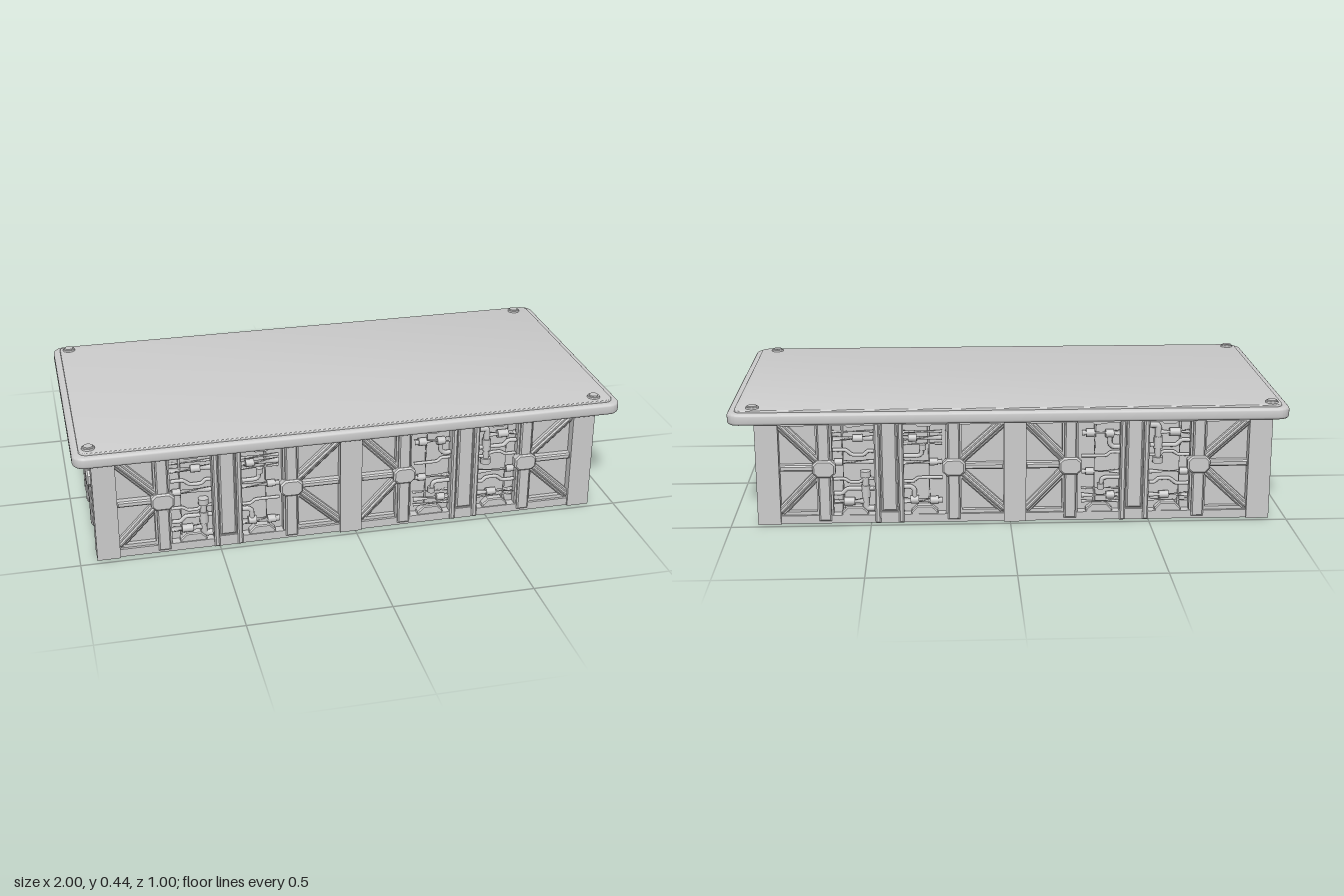
import * as THREE from 'three';
import { toCreasedNormals } from 'three/addons/utils/BufferGeometryUtils.js';

const grey = new THREE.MeshStandardMaterial({ color: 0xcccccc });

function add(parent, name, geometry, x = 0, y = 0, z = 0) {
  const mesh = new THREE.Mesh(geometry, grey);
  mesh.name = name;
  mesh.position.set(x, y, z);
  parent.add(mesh);
  return mesh;
}

// Box given by its limits on each axis
function slab(parent, name, x0, x1, y0, y1, z0, z1) {
  return add(parent, name, new THREE.BoxGeometry(x1 - x0, y1 - y0, z1 - z0),
    (x0 + x1) / 2, (y0 + y1) / 2, (z0 + z1) / 2);
}

// Polygon extruded from z0 to z1 with a small chamfer on its front rim
function plate(points, z0, z1, bevel) {
  const shape = new THREE.Shape(points.map(p => new THREE.Vector2(p[0], p[1])));
  const g = new THREE.ExtrudeGeometry(shape, { depth: z1 - z0 - 2 * bevel, bevelEnabled: bevel > 0,
    bevelThickness: bevel, bevelSize: bevel, bevelOffset: -bevel, bevelSegments: 1 });
  return g.translate(0, 0, z0 + bevel);
}

// Rounded rectangular lid, lying flat from y0 to y1
function lid(halfX, halfZ, radius, y0, y1, bevel) {
  const s = new THREE.Shape();
  s.moveTo(-halfX + radius, -halfZ);
  [[1, -1, -Math.PI / 2], [1, 1, 0], [-1, 1, Math.PI / 2], [-1, -1, Math.PI]].forEach(([sx, sz, a]) =>
    s.absarc(sx * (halfX - radius), sz * (halfZ - radius), radius, a, a + Math.PI / 2));
  const g = new THREE.ExtrudeGeometry(s, { depth: y1 - y0 - 2 * bevel, bevelThickness: bevel,
    bevelSize: bevel, bevelOffset: -bevel, bevelSegments: 3, curveSegments: 6 });
  return toCreasedNormals(g.rotateX(-Math.PI / 2).translate(0, y0 + bevel, 0), 0.6);
}

// Bar with a ridged section, laid between two points of the wall face
function bar(parent, name, a, b, width, z0, z1) {
  const dx = b[0] - a[0], dy = b[1] - a[1], w = width / 2;
  const h = Math.hypot(dx, dy) / 2;
  const mesh = add(parent, name, plate([[-h, -w], [h, -w], [h, w], [-h, w]], z0, z1, 0.005),
    (a[0] + b[0]) / 2, (a[1] + b[1]) / 2, 0);
  mesh.rotation.z = Math.atan2(dy, dx);
}

// Each pipe: radius, then x,y pairs
const PIPES = [
  // left bay
  [0.005, -0.21, 0.336, -0.065, 0.336],
  [0.01, -0.21, 0.313, -0.065, 0.313],
  [0.007, -0.21, 0.27, -0.165, 0.27, -0.14, 0.252, -0.1, 0.252, -0.085, 0.265, -0.065, 0.265],
  [0.009, -0.21, 0.225, -0.065, 0.225],
  [0.006, -0.21, 0.162, -0.17, 0.162, -0.15, 0.15, -0.115, 0.15, -0.1, 0.162, -0.065, 0.162],
  [0.008, -0.21, 0.108, -0.18, 0.108, -0.16, 0.125, -0.12, 0.125, -0.065, 0.125],
  [0.01, -0.21, 0.077, -0.1, 0.077],
  [0.012, -0.095, 0.18, -0.095, 0.06, -0.085, 0.05, -0.065, 0.05],
  [0.005, -0.175, 0.03, -0.175, 0.37],
  // right bay
  [0.006, 0.04, 0.335, 0.18, 0.335],
  [0.01, 0.04, 0.312, 0.18, 0.312],
  [0.005, 0.04, 0.288, 0.18, 0.288],
  [0.008, 0.04, 0.245, 0.09, 0.245, 0.105, 0.252, 0.11, 0.285],
  [0.009, 0.04, 0.222, 0.18, 0.222],
  [0.006, 0.04, 0.15, 0.075, 0.15, 0.095, 0.163, 0.18, 0.163],
  [0.009, 0.04, 0.13, 0.065, 0.13, 0.078, 0.118, 0.08, 0.08],
  [0.011, 0.04, 0.077, 0.18, 0.077],
  [0.005, 0.132, 0.03, 0.132, 0.37],
];

// Pipe couplings: x, y, radius, length, upright
const COUPLINGS = [
  [-0.12, 0.313, 0.014, 0.035], [-0.155, 0.077, 0.015, 0.04], [-0.095, 0.18, 0.019, 0.022, true],
  [-0.095, 0.115, 0.016, 0.045, true], [-0.19, 0.225, 0.013, 0.03], [0.075, 0.312, 0.014, 0.03],
  [0.15, 0.222, 0.013, 0.03], [0.11, 0.278, 0.013, 0.02, true], [0.08, 0.08, 0.015, 0.03],
  [0.15, 0.077, 0.015, 0.03],
];

function pipework() {
  const group = new THREE.Group();
  group.name = 'pipework';
  PIPES.forEach(([radius, ...c], n) => {
    const z = radius < 0.0055 ? -0.036 : -0.026;
    const pts = [];
    for (let i = 0; i < c.length; i += 2) pts.push(new THREE.Vector3(c[i], c[i + 1], z));
    const curve = new THREE.CatmullRomCurve3(pts, false, 'catmullrom', 0.25);
    add(group, 'pipe' + n, new THREE.TubeGeometry(curve, pts.length > 2 ? 24 : 1, radius, 8));
  });
  COUPLINGS.forEach(([x, y, r, length, upright]) => {
    const m = add(group, 'pipeCoupling', new THREE.CylinderGeometry(r, r, length, 10), x, y, -0.026);
    if (!upright) m.rotation.z = Math.PI / 2;
  });
  return group;
}

// One wall module, 0.96 wide, outer face at z = 0
function wallModule(flipped) {
  const g = new THREE.Group();
  const top = 0.376, mid = 0.207, c = -0.01;
  slab(g, 'bottomRail', -0.48, 0.48, 0, 0.03, -0.06, -0.008);
  slab(g, 'topRail', -0.48, 0.48, 0.365, top, -0.06, -0.008);
  slab(g, 'backPlate', -0.25, 0.24, 0.01, top, -0.06, -0.042);

  for (const s of [-1, 1]) {
    const hub = c + s * 0.231, inner = s * 0.4;
    const span = [Math.min(hub, inner), Math.max(hub, inner)];
    slab(g, 'cornerPost', Math.min(s * 0.48, inner), Math.max(s * 0.48, inner), 0, top, -0.06, 0);

    // Braced panel, with its pocket standing out on the inside
    slab(g, 'bracedPanel', ...span, 0.01, top, -0.06, -0.036);
    slab(g, 'pocketBack', span[0] + 0.01, span[1] - 0.01, 0.06, top, -0.075, -0.05);
    slab(g, 'pocketRail', ...span, mid - 0.012, mid + 0.012, -0.085, -0.06);
    bar(g, 'crossBeam', [hub, mid], [inner, mid], 0.022, -0.04, -0.008);
    for (const y of [0.37, 0.04]) {
      bar(g, 'diagonalBrace', [hub, mid], [inner, y], 0.034, -0.04, -0.016);
      bar(g, 'diagonalRidge', [hub, mid], [inner, y], 0.014, -0.03, -0.008);
    }
    slab(g, 'lowerTrim', ...span, 0.03, 0.042, -0.04, -0.018);

    // Post with an octagonal hub
    slab(g, 'hubPostBacking', hub - 0.029, hub + 0.029, 0.02, top, -0.05, -0.014);
    bar(g, 'hubPost', [hub, 0.01], [hub, top], 0.044, -0.05, 0);
    add(g, 'hub', plate([[-0.041, -0.016], [-0.024, -0.032], [0.024, -0.032], [0.041, -0.016],
      [0.041, 0.016], [0.024, 0.032], [-0.024, 0.032], [-0.041, 0.016]], -0.03, 0.007, 0.006), hub, mid, 0);

    // Trapezoid brackets at the foot and head of the pipe bay
    const bay = c + s * 0.125;
    add(g, 'footBracket', plate([[-0.05, 0.02], [0.05, 0.02], [0.047, 0.04], [0.026, 0.06],
      [-0.026, 0.06], [-0.047, 0.04]], -0.045, -0.012, 0.004), bay, 0, 0);
    add(g, 'headBracket', plate([[-0.04, top], [-0.022, 0.358], [0.022, 0.358], [0.04, top]],
      -0.045, -0.012, 0), bay, 0, 0);
  }

  // Wide centre post: sunken channel between two flanges
  slab(g, 'centrePost', c - 0.052, c + 0.052, 0, top, -0.06, -0.012);
  for (const s of [-1, 1]) bar(g, 'centreFlange', [c + s * 0.042, 0], [c + s * 0.042, top], 0.02, -0.03, 0);
  bar(g, 'centreChannel', [c, 0.045], [c, top], 0.056, -0.03, -0.004);
  slab(g, 'centreFoot', c - 0.035, c + 0.035, 0, 0.04, -0.03, -0.006);

  const pipes = pipework();
  if (flipped) {
    pipes.rotation.z = Math.PI;
    pipes.position.set(2 * c, 0.4, 0);
  }
  g.add(pipes);
  return g;
}

export function createModel() {
  const model = new THREE.Group();
  model.name = 'platform';

  // Walls: two modules along each long side, one at each end
  const cx = -0.017;
  [
    ['frontWallRight', cx - 0.44, 0.48, 0, false],
    ['frontWallLeft', cx + 0.44, 0.48, 0, true],
    ['backWallLeft', cx + 0.44, -0.48, Math.PI, false],
    ['backWallRight', cx - 0.44, -0.48, Math.PI, true],
    ['leftWall', cx + 0.922, 0, Math.PI / 2, false],
    ['rightWall', cx - 0.922, 0, -Math.PI / 2, false],
  ].forEach(([name, x, z, turn, flipped]) => {
    const wall = wallModule(flipped);
    wall.name = name;
    wall.position.set(x, 0, z);
    wall.rotation.y = turn;
    model.add(wall);
  });

  // Top deck with a raised inner panel and corner bolts
  add(model, 'deck', lid(1, 0.5, 0.045, 0.375, 0.417, 0.01));
  add(model, 'deckPanel', lid(0.975, 0.477, 0.03, 0.41, 0.425, 0.003));
  for (const x of [-0.94, 0.912]) for (const z of [-0.44, 0.437]) {
    add(model, 'boltCollar', new THREE.CylinderGeometry(0.022, 0.024, 0.008, 16), x, 0.427, z);
    add(model, 'bolt', new THREE.CylinderGeometry(0.017, 0.019, 0.006, 8), x, 0.432, z);
  }
  return model;
}
